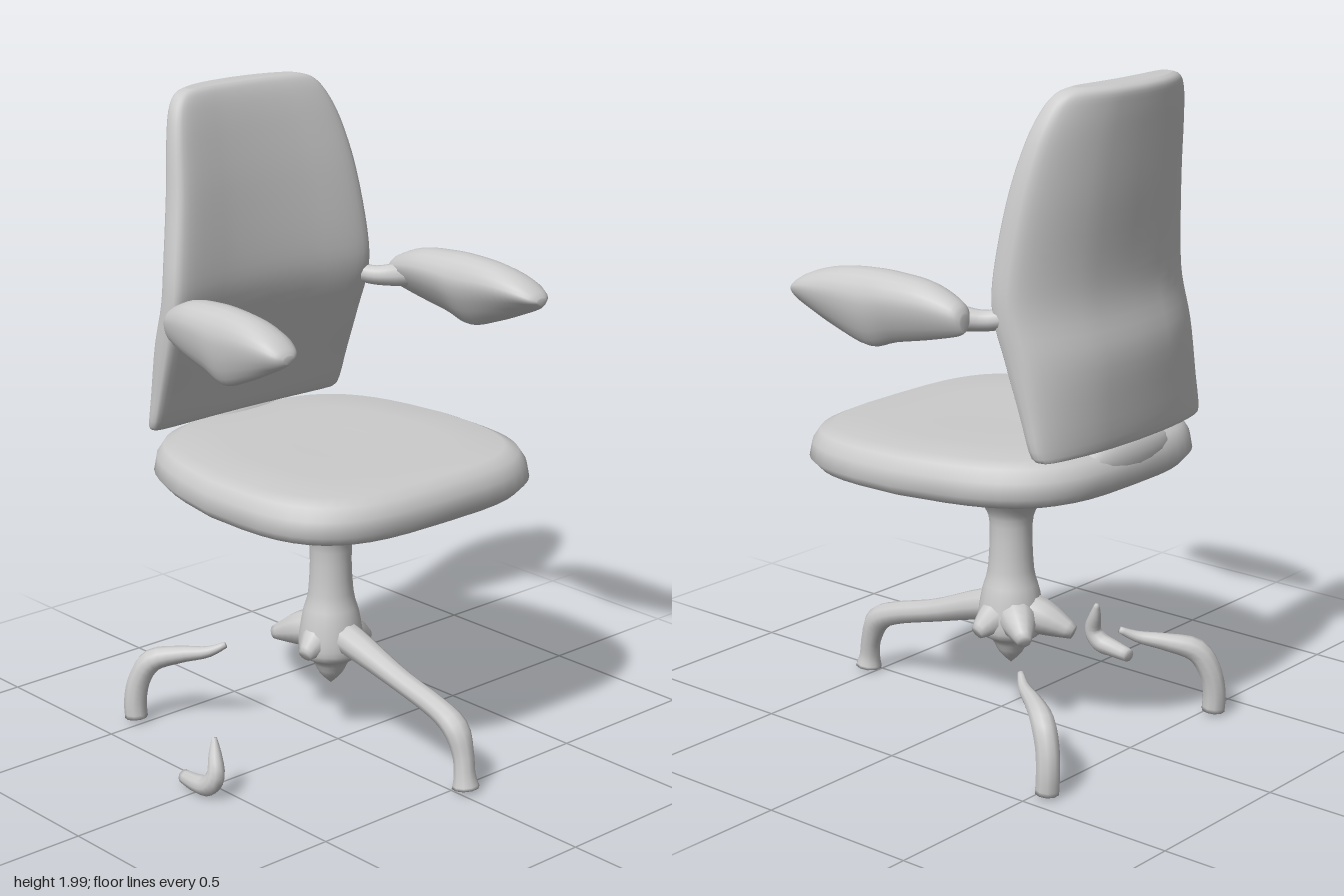
import * as THREE from 'three';

const V = (x, y, z) => new THREE.Vector3(x, y, z);
const mat = new THREE.MeshStandardMaterial({ color: 0xcccccc });

// Skin a list of closed loops (equal point counts), cap both ends, face outwards
function loft(loops) {
  const n = loops[0].length, pts = loops.flat(), idx = [];
  for (let i = 0; i < loops.length - 1; i++)
    for (let j = 0; j < n; j++) {
      const a = i * n + j, b = i * n + (j + 1) % n;
      idx.push(a, b, a + n, b, b + n, a + n);
    }
  [0, loops.length - 1].forEach((row) => {
    const c = pts.length;
    const mid = loops[row].reduce((s, p) => s.add(p), V(0, 0, 0)).divideScalar(n);
    pts.push(mid);
    for (let j = 0; j < n; j++) {
      const a = row * n + j, b = row * n + (j + 1) % n;
      if (row) idx.push(a, b, c); else idx.push(b, a, c);
    }
  });
  // flip the winding if the enclosed volume is negative
  let vol = 0;
  for (let i = 0; i < idx.length; i += 3)
    vol += pts[idx[i]].dot(V(0, 0, 0).crossVectors(pts[idx[i + 1]], pts[idx[i + 2]]));
  if (vol < 0) idx.reverse();
  const g = new THREE.BufferGeometry().setFromPoints(pts);
  g.setIndex(idx);
  g.computeVertexNormals();
  return g;
}

// Unit superellipse outline
function outline(n, e) {
  return Array.from({ length: n }, (_, i) => {
    const t = (i / n) * Math.PI * 2, c = Math.cos(t), s = Math.sin(t);
    return [Math.sign(c) * Math.abs(c) ** (2 / e), Math.sign(s) * Math.abs(s) ** (2 / e)];
  });
}

// Interpolate the rows of a small table, smoothly, to `count` rows
function refine(rows, count) {
  const k = rows[0].length;
  return Array.from({ length: count }, (_, i) => {
    const f = (i / (count - 1)) * (rows.length - 1), a = Math.min(Math.floor(f), rows.length - 2), t = f - a;
    const at = (j) => rows[Math.max(0, Math.min(rows.length - 1, j))];
    return Array.from({ length: k }, (_, c) => {
      const [p0, p1, p2, p3] = [at(a - 1)[c], at(a)[c], at(a + 1)[c], at(a + 2)[c]];
      const m1 = (p2 - p0) / 2, m2 = (p3 - p1) / 2;
      return p1 + m1 * t + (3 * (p2 - p1) - 2 * m1 - m2) * t * t + (2 * (p1 - p2) + m1 + m2) * t ** 3;
    });
  });
}

// Round limb along a path; rows are [x, y, z, radius]
function limb(rows) {
  const r = refine(rows, rows.length * 3);
  return loft(r.map(([x, y, z, rad], i) => {
    const a = r[Math.max(0, i - 1)], b = r[Math.min(r.length - 1, i + 1)];
    const dir = V(b[0] - a[0], b[1] - a[1], b[2] - a[2]).normalize();
    const side = V(-rows[0][2] + rows.at(-1)[2], 0, rows[0][0] - rows.at(-1)[0]).normalize();
    const u = side.addScaledVector(dir, -side.dot(dir)).normalize();
    const v = V(0, 0, 0).crossVectors(dir, u);
    return outline(10, 2).map(([c, s]) => V(x, y, z).addScaledVector(u, c * rad).addScaledVector(v, s * rad));
  }));
}

// Seat cushion: rounded square stacked in height, narrower towards the back
function seat() {
  const rows = [[0.785, 0.3], [0.797, 0.6], [0.813, 0.86], [0.83, 0.95], [0.86, 1],
    [0.905, 0.985], [0.94, 0.945], [0.957, 0.87], [0.961, 0.6], [0.958, 0.25]];
  return loft(rows.map(([y, s]) => outline(48, 3.4).map(([u, w]) => {
    const taper = 1 - 0.14 * Math.max(0, -u);
    return V(-0.05 + 0.5 * u * s, y - 0.008 * u * s, -0.035 + 0.515 * w * s * taper);
  })));
}

// Backrest: slab that wraps forward at its sides, more so on its rear face
function backrest() {
  // height, rear x, front x, side z (+), side z (-)
  const rows = [[0.972, -0.525, -0.46, 0.31, -0.37], [0.985, -0.543, -0.425, 0.345, -0.405],
    [1.1, -0.55, -0.38, 0.35, -0.415], [1.25, -0.55, -0.325, 0.355, -0.425],
    [1.38, -0.52, -0.288, 0.355, -0.435], [1.5, -0.517, -0.288, 0.345, -0.43],
    [1.7, -0.535, -0.318, 0.31, -0.405], [1.85, -0.545, -0.355, 0.285, -0.37],
    [1.94, -0.55, -0.385, 0.26, -0.33], [1.985, -0.548, -0.41, 0.225, -0.29], [2, -0.525, -0.435, 0.18, -0.24]];
  return loft(refine(rows, 41).map(([y, xb, xf, z1, z2]) => outline(40, 3.6).map(([u, w]) => {
    const rear = xb + (xf - xb) * 0.38 * w * w, front = xf - (xf - xb) * 0.22 * (1 - w * w);
    return V((rear + front) / 2 + ((front - rear) / 2) * u, y, (z1 + z2) / 2 + ((z1 - z2) / 2) * w);
  })));
}

// Arm pad: rounded on top, narrowing to a keel that leans sideways by `lean`
function armPad(x0, x1, zRear, zFront, width, lean) {
  // along, top y, bottom y, width factor
  const rows = [[0, 1.385, 1.335, 0.25], [0.04, 1.42, 1.322, 0.55], [0.2, 1.46, 1.298, 0.88],
    [0.38, 1.472, 1.275, 1], [0.53, 1.474, 1.25, 1], [0.72, 1.464, 1.285, 0.98],
    [0.88, 1.437, 1.325, 0.86], [0.97, 1.407, 1.35, 0.58], [1, 1.387, 1.365, 0.25]];
  return loft(refine(rows, 33).map(([t, top, low, f]) => outline(20, 2.1).map(([u, w]) => {
    const pinch = w < 0 ? 1 + 0.4 * w : 1;
    const mid = low + (top - low) * 0.58;
    return V(x0 + (x1 - x0) * t, w > 0 ? mid + (top - mid) * w : mid + (mid - low) * w,
      zRear + (zFront - zRear) * t + (width / 2) * f * u * pinch + lean * f * Math.max(0, -w));
  })));
}

export function createModel() {
  const model = new THREE.Group();
  const add = (name, geometry) => {
    const mesh = new THREE.Mesh(geometry, mat);
    mesh.name = name;
    model.add(mesh);
    return mesh;
  };

  add('seat', seat());
  add('backrest', backrest());

  // Bridge between seat and backrest
  const bridge = add('backBracket', new THREE.SphereGeometry(1, 20, 12));
  bridge.scale.set(0.05, 0.07, 0.2);
  bridge.position.set(-0.495, 0.92, -0.03);

  add('armrestLeft', armPad(-0.29, 0.33, -0.497, -0.522, 0.152, -0.012));
  add('armrestRight', armPad(-0.25, 0.3, 0.43, 0.452, 0.148, 0.022));
  add('armBracket', limb([[-0.36, 1.37, -0.4, 0.03], [-0.305, 1.36, -0.43, 0.03],
    [-0.25, 1.365, -0.465, 0.036], [-0.18, 1.38, -0.495, 0.045]]));

  // Pedestal with flared top and pointed hub
  const profile = [[0, 0.175], [0.035, 0.21], [0.06, 0.255], [0.095, 0.28], [0.1, 0.33], [0.088, 0.41], [0.07, 0.48],
    [0.065, 0.62], [0.085, 0.68], [0.14, 0.74], [0.22, 0.775], [0.38, 0.815]];
  const column = add('pedestal', new THREE.LatheGeometry(
    refine(profile, 34).map(([r, y]) => new THREE.Vector2(Math.max(0, r), y)), 20));
  column.position.set(-0.055, 0, -0.02);

  // Short leg stubs around the hub
  [[-0.25, 0.04], [-0.19, -0.12], [-0.04, 0.1], [-0.03, -0.15]].forEach(([x, z]) =>
    add('hubStub', limb([[-0.06, 0.36, -0.02, 0.06], [(x - 0.06) / 2, 0.335, (z - 0.02) / 2, 0.055], [x, 0.3, z, 0.022]])));

  // Complete leg
  add('frontLeg', limb([[-0.06, 0.36, -0.02, 0.055], [0.06, 0.335, -0.02, 0.048], [0.24, 0.275, -0.03, 0.036],
    [0.4, 0.23, -0.035, 0.036], [0.48, 0.19, -0.035, 0.04], [0.512, 0.12, -0.035, 0.033], [0.525, 0.06, -0.03, 0.033], [0.53, 0.02, -0.03, 0.042]]));

  // Rear leg ends, separate from the hub
  [[0.375, 0.19], [-0.43, -0.28]].forEach(([zFoot, zTip]) => {
    const z = (t) => zFoot + (zTip - zFoot) * t;
    add('rearLeg', limb([[-0.31, 0.28, z(1), 0.01], [-0.35, 0.255, z(0.78), 0.018], [-0.42, 0.24, z(0.5), 0.027],
      [-0.49, 0.215, z(0.2), 0.036], [-0.525, 0.15, z(0.06), 0.036], [-0.535, 0.08, z(0), 0.036], [-0.532, 0.02, z(0), 0.036]]));
  });

  // Side foot fragment
  add('sideFoot', limb([[0.04, 0.185, 0.527, 0.008], [0.055, 0.14, 0.537, 0.02], [0.075, 0.085, 0.552, 0.028],
    [0.05, 0.045, 0.56, 0.032], [0, 0.035, 0.562, 0.028], [-0.07, 0.03, 0.553, 0.022]]));

  return model;
}
